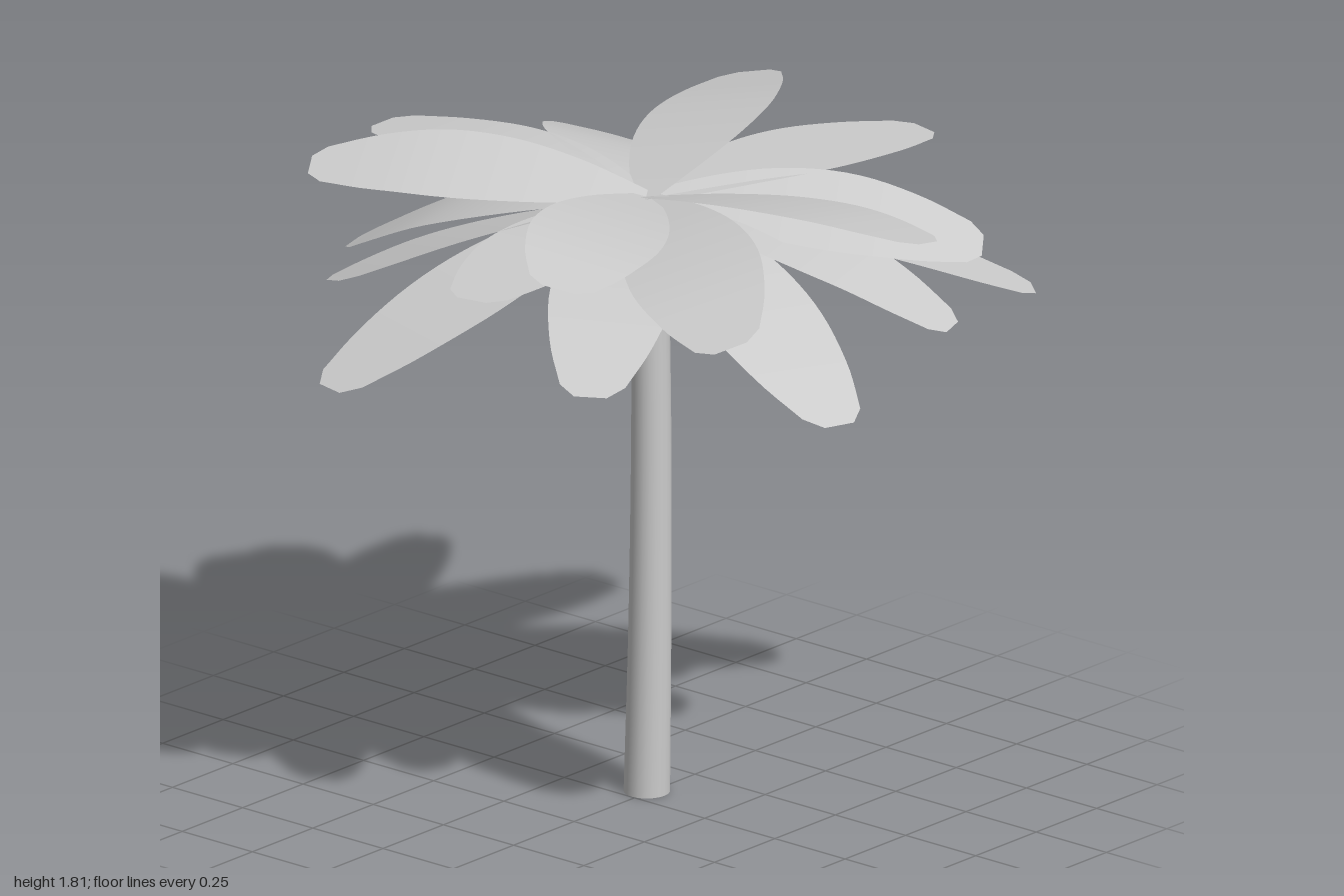
import * as THREE from 'three';

const material = new THREE.MeshStandardMaterial({ color: 0xcccccc, side: THREE.DoubleSide });
const CROWN = new THREE.Vector3(0.06, 0, -0.01);

// smooth curve through [x, y] points, sampled by x
function sampler(points) {
  const curve = new THREE.SplineCurve(points.map(([x, y]) => new THREE.Vector2(x, y)));
  const pts = curve.getPoints(120);
  return (x) => {
    let i = 1;
    while (i < pts.length - 1 && pts[i].x < x) i++;
    const a = pts[i - 1], b = pts[i];
    return THREE.MathUtils.lerp(a.y, b.y, THREE.MathUtils.clamp((x - a.x) / (b.x - a.x), 0, 1));
  };
}

// half width of a frond along its length
const halfWidth = sampler([[0, 0.035], [0.2, 0.11], [0.4, 0.16], [0.6, 0.173], [0.8, 0.142], [0.94, 0.096], [0.975, 0.08], [1, 0.045]]);

// thin frond pointing along +x, bent along the height profile and tilted sideways by roll
function frondGeometry(profile, roll) {
  const height = sampler(profile);
  const length = profile[profile.length - 1][0];
  const geometry = new THREE.PlaneGeometry(1, 1, 24, 2).rotateX(-Math.PI / 2);
  const p = geometry.attributes.position;
  for (let i = 0; i < p.count; i++) {
    const u = p.getX(i) + 0.5;
    const z = p.getZ(i) * 2 * halfWidth(u);
    p.setXYZ(i, u * length, height(u * length) - roll * z, z);
  }
  geometry.computeVertexNormals();
  return geometry;
}

// frond layers: height profile, sideways roll and the tips' [x, z] directions
const layers = [
  { name: 'topFrond', roll: -0.2, profile: [[0, 1.705], [0.2, 1.742], [0.42, 1.769], [0.65, 1.776], [0.915, 1.755]],
    tips: [[0.92, -0.36], [0.17, 0.9], [-0.74, 0.375], [-0.44, -0.77]] },
  { name: 'flatFrond', roll: 0, profile: [[0, 1.7], [0.3, 1.725], [0.6, 1.725], [0.94, 1.7]],
    tips: [[0.98, 0.19], [0.06, -0.97], [-0.87, 0.165]] },
  { name: 'middleFrond', roll: 0.3, profile: [[0, 1.7], [0.3, 1.695], [0.6, 1.66], [0.91, 1.585]],
    tips: [[0.6, 0.7], [0.62, -0.72], [-0.44, 0.71], [-0.74, -0.43]] },
  { name: 'lowFrond', roll: 0, profile: [[0, 1.7], [0.3, 1.665], [0.6, 1.58], [0.88, 1.44]],
    tips: [[0.94, -0.05], [0.36, 0.79], [-0.66, 0.42], [-0.17, -0.86]] },
  { name: 'droopingFrond', roll: 0, profile: [[0, 1.7], [0.35, 1.645], [0.7, 1.53], [1.06, 1.38]],
    tips: [[0.87, 0.66], [-0.3, 0.99], [-0.98, -0.25], [0.5, -0.98]] },
];

export function createModel() {
  const model = new THREE.Group();

  // trunk: tapered, gently bent cylinder
  const trunkHeight = 1.69;
  const radius = sampler([[0, 0.063], [0.5, 0.058], [1.1, 0.054], [1.7, 0.05]]);
  const bendX = sampler([[0, 0.065], [0.5, 0.085], [1.1, 0.074], [1.7, 0.06]]);
  const bendZ = sampler([[0, -0.012], [0.5, -0.018], [1.1, -0.004], [1.7, 0]]);
  const trunkGeometry = new THREE.CylinderGeometry(1, 1, trunkHeight, 20, 12).translate(0, trunkHeight / 2, 0);
  const p = trunkGeometry.attributes.position;
  for (let i = 0; i < p.count; i++) {
    const y = p.getY(i), r = radius(y);
    p.setXYZ(i, p.getX(i) * r + bendX(y), y, p.getZ(i) * r + bendZ(y));
  }
  const trunk = new THREE.Mesh(trunkGeometry, material);
  trunk.name = 'trunk';
  model.add(trunk);

  // crown of fronds
  const crown = new THREE.Group();
  crown.name = 'crown';
  crown.position.copy(CROWN);
  for (const { name, profile, roll, tips } of layers) {
    const geometry = frondGeometry(profile, roll);
    for (const [x, z] of tips) {
      const frond = new THREE.Mesh(geometry, material);
      frond.name = name;
      frond.rotation.y = -Math.atan2(z - CROWN.z, x - CROWN.x);
      crown.add(frond);
    }
  }
  model.add(crown);
  return model;
}
